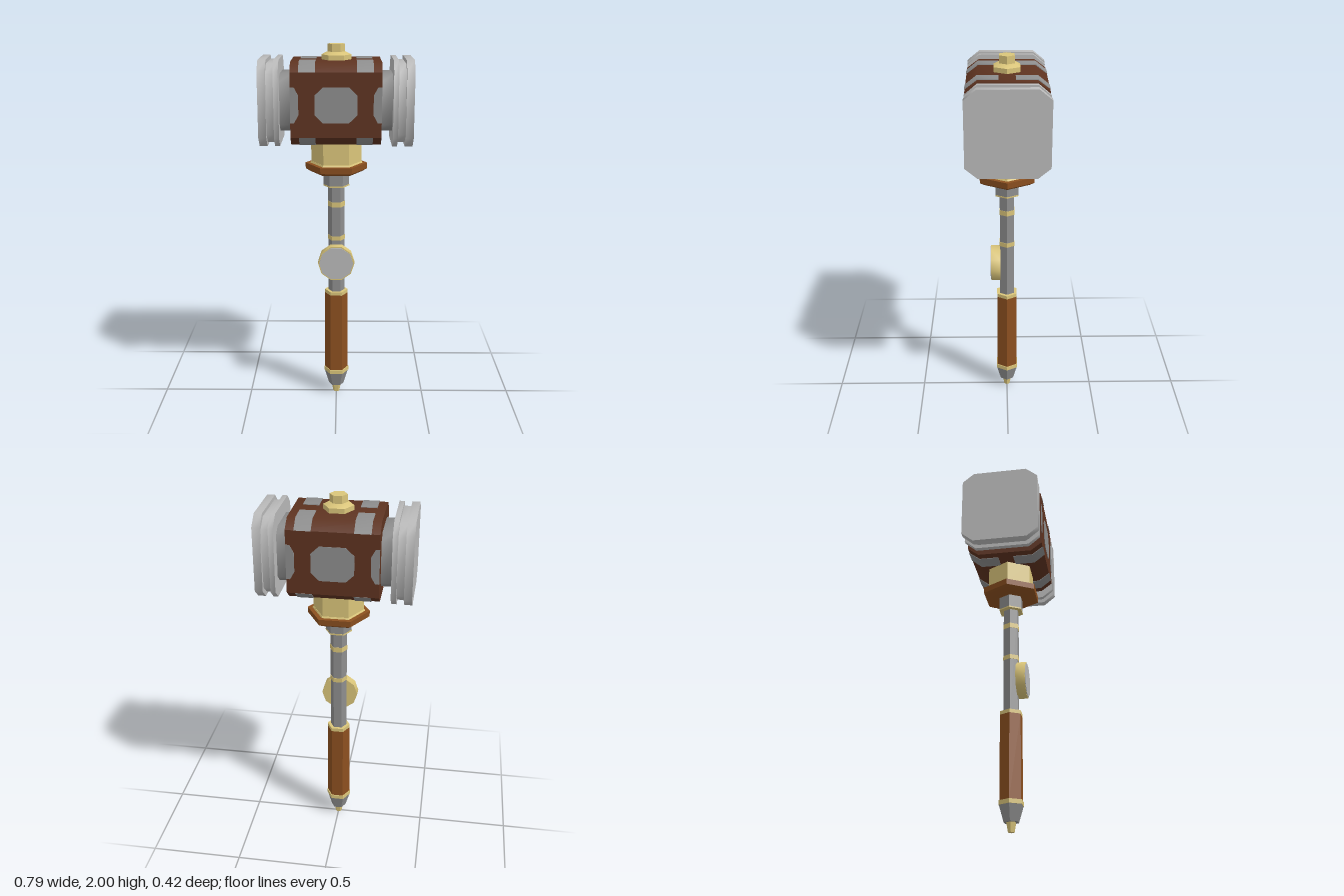
import * as THREE from 'three';
import { toCreasedNormals } from 'three/addons/utils/BufferGeometryUtils.js';

const material = (name, color) => {
  const m = new THREE.MeshStandardMaterial({ color });
  m.name = name;
  return m;
};

export function createModel() {
  const model = new THREE.Group();
  model.name = 'hammer';
  const silver = material('silver', 0xbababa);
  const steel = material('steel', 0x8e8e8e);
  const gold = material('gold', 0xdac57a);
  const darkWood = material('darkWood', 0x5e3320);
  const leather = material('leather', 0x8c5020);

  const add = (name, geometry, mat, parent = model) => {
    const mesh = new THREE.Mesh(toCreasedNormals(geometry, 0.9), mat);
    mesh.name = name;
    parent.add(mesh);
    return mesh;
  };
  const polygon = (pts) => new THREE.Shape(pts.map(([x, y]) => new THREE.Vector2(x, y)));
  const extrude = (pts, depth) =>
    new THREE.ExtrudeGeometry(polygon(pts), { depth, bevelEnabled: false }).translate(0, 0, -depth / 2);
  const octagon = (w, h, cx, cy) => [
    [w, h - cy], [w - cx, h], [cx - w, h], [-w, h - cy],
    [-w, cy - h], [cx - w, -h], [w - cx, -h], [w, cy - h],
  ];

  // Six-sided turned part with corners on the x axis
  const hex = (name, y0, y1, r0, r1, mat) => {
    const g = new THREE.CylinderGeometry(r1, r0, y1 - y0, 6, 1, false, Math.PI / 6);
    return add(name, g.translate(0, (y0 + y1) / 2, 0), mat);
  };

  // Handle, from the tip up
  hex('tip', 0, 0.05, 0.018, 0.027, gold);
  hex('pommel', 0.05, 0.137, 0.042, 0.068, steel);
  hex('lowerGripBand', 0.135, 0.158, 0.07, 0.07, gold);
  hex('grip', 0.155, 0.62, 0.065, 0.064, leather);
  hex('upperGripBand', 0.615, 0.64, 0.064, 0.064, gold);
  hex('rod', 0.63, 1.26, 0.045, 0.045, steel);
  hex('lowerRodBand', 0.94, 0.965, 0.047, 0.047, gold);
  hex('upperRodBand', 1.13, 1.158, 0.047, 0.047, gold);
  hex('socketTrim', 1.245, 1.253, 0.071, 0.071, gold);
  hex('socket', 1.25, 1.335, 0.07, 0.07, steel);
  hex('guardUnderside', 1.325, 1.34, 0.14, 0.165, leather);
  hex('guard', 1.34, 1.372, 0.165, 0.167, leather);
  hex('collarTrim', 1.37, 1.38, 0.143, 0.137, gold);
  hex('collar', 1.378, 1.51, 0.135, 0.135, gold);

  // Round medallion on the front of the rod
  const disc = (name, r, z0, z1, mat) => {
    const g = new THREE.CylinderGeometry(r, r, z1 - z0, 10, 1, false, Math.PI / 10);
    add(name, g.rotateX(Math.PI / 2).translate(0, 0.823, (z0 + z1) / 2), mat);
  };
  disc('medallion', 0.1, 0.037, 0.088, gold);
  disc('medallionFace', 0.094, 0.086, 0.091, silver);

  // Head, running along x
  const head = new THREE.Group();
  head.name = 'head';
  head.position.y = 1.71;
  model.add(head);
  const block = (name, x0, x1, hz, hy, cz, cy, mat) =>
    add(name, extrude(octagon(hz, hy, cz, cy), x1 - x0)
      .rotateY(Math.PI / 2).translate((x0 + x1) / 2, 0, 0), mat, head);
  block('headBody', -0.232, 0.232, 0.208, 0.21, 0.06, 0.045, darkWood);

  for (const s of [-1, 1]) {
    const part = (name, a, b, ...rest) =>
      block(name, Math.min(s * a, s * b), Math.max(s * a, s * b), ...rest);
    part('neck', 0.23, 0.292, 0.145, 0.145, 0.042, 0.036, steel);
    part('innerRing', 0.29, 0.316, 0.208, 0.22, 0.062, 0.052, silver);
    part('groove', 0.315, 0.357, 0.19, 0.2, 0.057, 0.047, silver);
    part('strikingPlate', 0.355, 0.396, 0.21, 0.22, 0.063, 0.052, silver);
  }

  // Octagonal plates on the front and back, halved at the body ends
  const half = [[0.232, -0.09], [0.232, 0.09], [0.212, 0.09], [0.19, 0.05], [0.19, -0.05], [0.212, -0.09]];
  for (const turn of [0, Math.PI]) {
    const side = new THREE.Group();
    side.name = turn ? 'backPlates' : 'frontPlates';
    side.rotation.y = turn;
    head.add(side);
    const plate = (name, pts) => add(name, extrude(pts, 0.006).translate(0, 0, 0.208), steel, side);
    plate('centrePlate', octagon(0.108, 0.09, 0.042, 0.04));
    plate('endPlate', half);
    plate('endPlate', half.map(([x, y]) => [-x, y]).reverse());
  }

  // Strips folded over the four long edges of the body
  const t = 0.003;
  const strip = [
    [0.042, 0.208], [0.148, 0.208], [0.206, 0.165],
    [0.208 + t, 0.165], [0.148 + t, 0.21 + t], [0.042, 0.21 + t],
  ];
  for (const axis of ['none', 'x', 'y', 'z']) {
    const edge = new THREE.Group();
    edge.name = 'edgeStrips';
    if (axis !== 'none') edge.rotation[axis] = Math.PI;
    head.add(edge);
    for (const x of [-0.147, 0.147]) {
      add('edgeStrip', extrude(strip, 0.084).rotateY(Math.PI / 2).translate(x, 0, 0), steel, edge);
    }
  }

  // Finial on top
  hex('finialBase', 1.915, 1.945, 0.078, 0.078, gold);
  hex('finialShoulder', 1.945, 1.96, 0.078, 0.05, gold);
  hex('finialTop', 1.955, 2, 0.045, 0.045, gold);

  return model;
}
